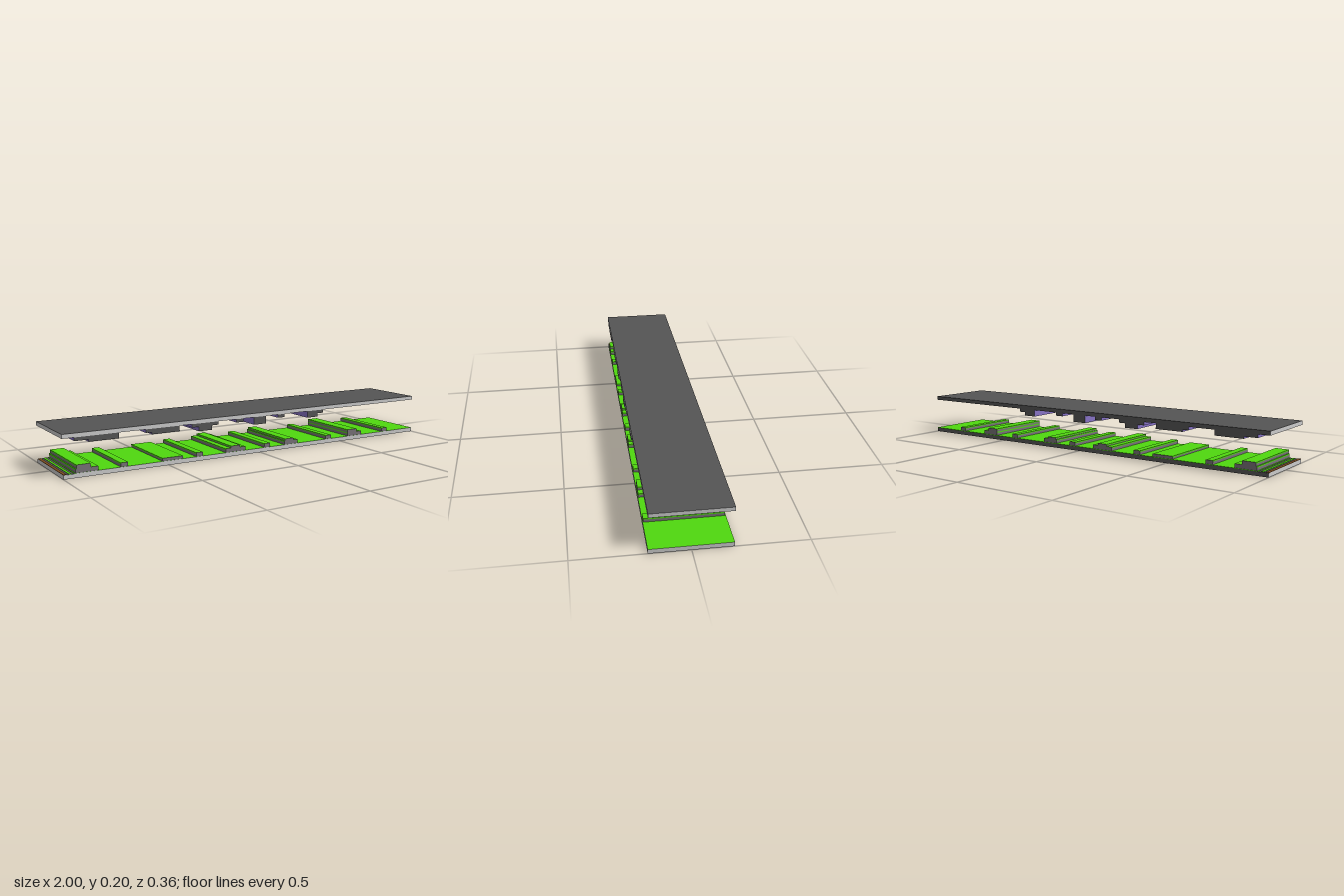
import * as THREE from 'three';

const mat = (color) => new THREE.MeshStandardMaterial({ color });
const light = mat(0xcccccc);
const dark = mat(0x555555);
const stone = mat(0x777277);
const green = mat(0x4fd80f);
const purple = mat(0x8672c4);
const brown = mat(0x7a4a20);

const FRONT = 0.178, BACK = -0.174;

// Box given by its limits in x and y, running the full depth of the corridor
function slab(parent, name, x0, x1, y0, y1, material, z0 = BACK, z1 = FRONT) {
  const mesh = new THREE.Mesh(new THREE.BoxGeometry(x1 - x0, y1 - y0, z1 - z0), material);
  mesh.position.set((x0 + x1) / 2, (y0 + y1) / 2, (z0 + z1) / 2);
  mesh.name = name;
  parent.add(mesh);
}

// Ground step: stone body with a green cap
function groundStep(parent, x0, x1, y0, y1) {
  const cap = y1 - 0.006;
  slab(parent, 'stepBody', x0, x1, y0, cap, stone);
  slab(parent, 'stepCap', x0, x1, cap, y1, [green, green, green, green, stone, stone]);
}

// Ceiling step: dark ends facing front and back, purple on the other faces
function ceilingStep(parent, x0, x1, y0, y1) {
  slab(parent, 'ceilingStep', x0, x1, y0, y1, [purple, purple, dark, purple, dark, dark]);
}

export function createModel() {
  const model = new THREE.Group();
  model.name = 'corridor';

  // Ground slab with grass cover and edge strips at the far end
  const ground = new THREE.Group();
  ground.name = 'ground';
  model.add(ground);
  slab(ground, 'groundSlab', -1, 1, 0, 0.019, [light, light, dark, dark, light, dark], -0.178, 0.18);
  slab(ground, 'groundCover', -0.95, 1, 0.019, 0.021, [light, green, green, green, light, green], -0.178, 0.18);
  slab(ground, 'greenStrip', -0.974, -0.962, 0.019, 0.021, green);
  slab(ground, 'brownStrip', -1, -0.985, 0.019, 0.021, brown);

  // Ground steps: [x0, x1, top], with an optional upper tier [x0, x1, top]
  const steps = [
    [[-0.945, -0.84, 0.04], [-0.94, -0.875, 0.057]],
    [[-0.735, -0.70, 0.04]],
    [[-0.53, -0.425, 0.035]],
    [[-0.355, -0.32, 0.04]],
    [[-0.195, -0.085, 0.04], [-0.165, -0.115, 0.05]],
    [[0.025, 0.06, 0.04]],
    [[0.145, 0.225, 0.04], [0.15, 0.2, 0.05]],
    [[0.405, 0.44, 0.04]],
    [[0.55, 0.64, 0.04], [0.55, 0.61, 0.055]],
    [[0.785, 0.82, 0.04]],
  ];
  for (const tiers of steps) {
    let base = 0.021;
    for (const [x0, x1, top] of tiers) {
      groundStep(ground, x0, x1, base, top);
      base = top;
    }
  }

  // Ceiling slab
  const ceiling = new THREE.Group();
  ceiling.name = 'ceiling';
  model.add(ceiling);
  slab(ceiling, 'ceilingSlab', -1, 1, 0.178, 0.197, [light, light, dark, purple, light, dark]);

  // Hanging steps: [x0, x1, bottom], with an optional lower tier
  const hanging = [
    [[-0.945, -0.74, 0.162], [-0.88, -0.74, 0.152]],
    [[-0.61, -0.44, 0.162], [-0.58, -0.44, 0.152]],
    [[-0.375, -0.235, 0.162], [-0.34, -0.27, 0.141]],
    [[-0.135, -0.095, 0.162]],
    [[-0.035, 0.035, 0.141]],
    [[0.105, 0.145, 0.162]],
    [[0.285, 0.385, 0.162], [0.285, 0.35, 0.145]],
  ];
  for (const tiers of hanging) {
    let base = 0.178;
    for (const [x0, x1, bottom] of tiers) {
      ceilingStep(ceiling, x0, x1, bottom, base);
      base = bottom;
    }
  }
  return model;
}
